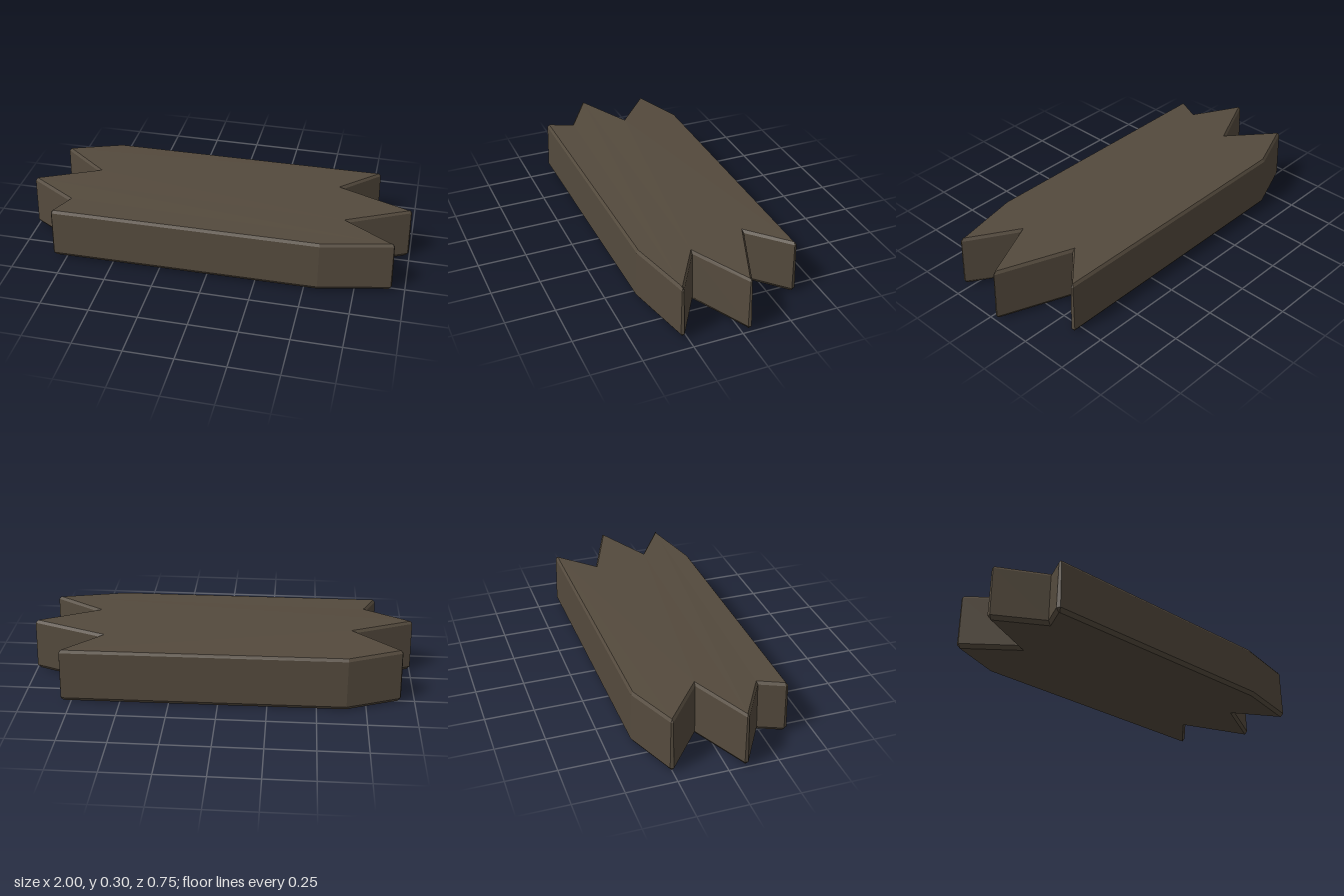
import * as THREE from 'three';

// Plank outline as [x, z], running clockwise seen from above from the back left corner
const OUTLINE = [
  [-0.65, -0.368], [0.8, -0.378], [0.805, -0.36], [0.625, -0.185], [0.995, -0.045], [0.99, -0.03],
  [0.69, 0.12], [0.935, 0.268], [0.93, 0.284], [0.57, 0.364], [-0.81, 0.372], [-0.82, 0.355],
  [-0.765, 0.235], [-1, 0.095], [-1, 0.078], [-0.7, -0.06], [-0.93, -0.245], [-0.925, -0.262],
];

// Mitred inset of the outline, with sharp corners limited
function inset(points, distance) {
  const n = points.length;
  const normal = (a, b) => new THREE.Vector2(b[1] - a[1], a[0] - b[0]).normalize();
  return points.map((p, i) => {
    const before = normal(points[(i + n - 1) % n], p);
    const after = normal(p, points[(i + 1) % n]);
    const mid = before.clone().add(after).normalize();
    const d = distance / Math.max(mid.dot(after), 0.55);
    return [p[0] - mid.x * d, p[1] - mid.y * d];
  });
}

// Slightly uneven surfaces: the bottom tilts and the top has a low crown
const bottomY = (x, z) => 0.009 + 0.016 * z;
const topY = (x, z) => 0.289 + 0.012 * Math.max(0, 1 - Math.abs(z + 0.06) / 0.3) * (0.6 - 0.4 * x);

function plankGeometry() {
  const count = OUTLINE.length;
  const upper = inset(OUTLINE, 0.006);
  const rings = [
    inset(OUTLINE, 0.014).map(([x, z]) => [x, bottomY(x, z), z]),
    OUTLINE.map(([x, z]) => [x, bottomY(x, z) + 0.02, z]),
    upper.map(([x, z]) => [x, topY(x, z) - 0.014, z]),
    inset(OUTLINE, 0.016).map(([x, z]) => [x, topY(x, z), z]),
  ];
  const index = [];
  // Walls and bevels between neighbouring rings
  for (let r = 0; r < rings.length - 1; r++) {
    for (let j = 0; j < count; j++) {
      const k = (j + 1) % count;
      const a = r * count + j, b = r * count + k;
      index.push(a, a + count, b + count, a, b + count, b);
    }
  }
  // Bottom and top faces
  const flat = (ring) => ring.map(([x, , z]) => new THREE.Vector2(x, z));
  for (const [a, b, c] of THREE.ShapeUtils.triangulateShape(flat(rings[0]), [])) index.push(a, b, c);
  const last = 3 * count;
  for (const [a, b, c] of THREE.ShapeUtils.triangulateShape(flat(rings[3]), [])) {
    index.push(last + a, last + c, last + b);
  }
  const geometry = new THREE.BufferGeometry();
  geometry.setAttribute('position', new THREE.Float32BufferAttribute(rings.flat(2), 3));
  geometry.setIndex(index);
  const faceted = geometry.toNonIndexed();
  faceted.computeVertexNormals();
  return faceted;
}

export function createModel() {
  const group = new THREE.Group();
  group.name = 'brokenPlank';
  const wood = new THREE.MeshStandardMaterial({ color: 0x544a3d });
  wood.name = 'dark wood';
  const plank = new THREE.Mesh(plankGeometry(), wood);
  plank.name = 'plank';
  group.add(plank);
  return group;
}
